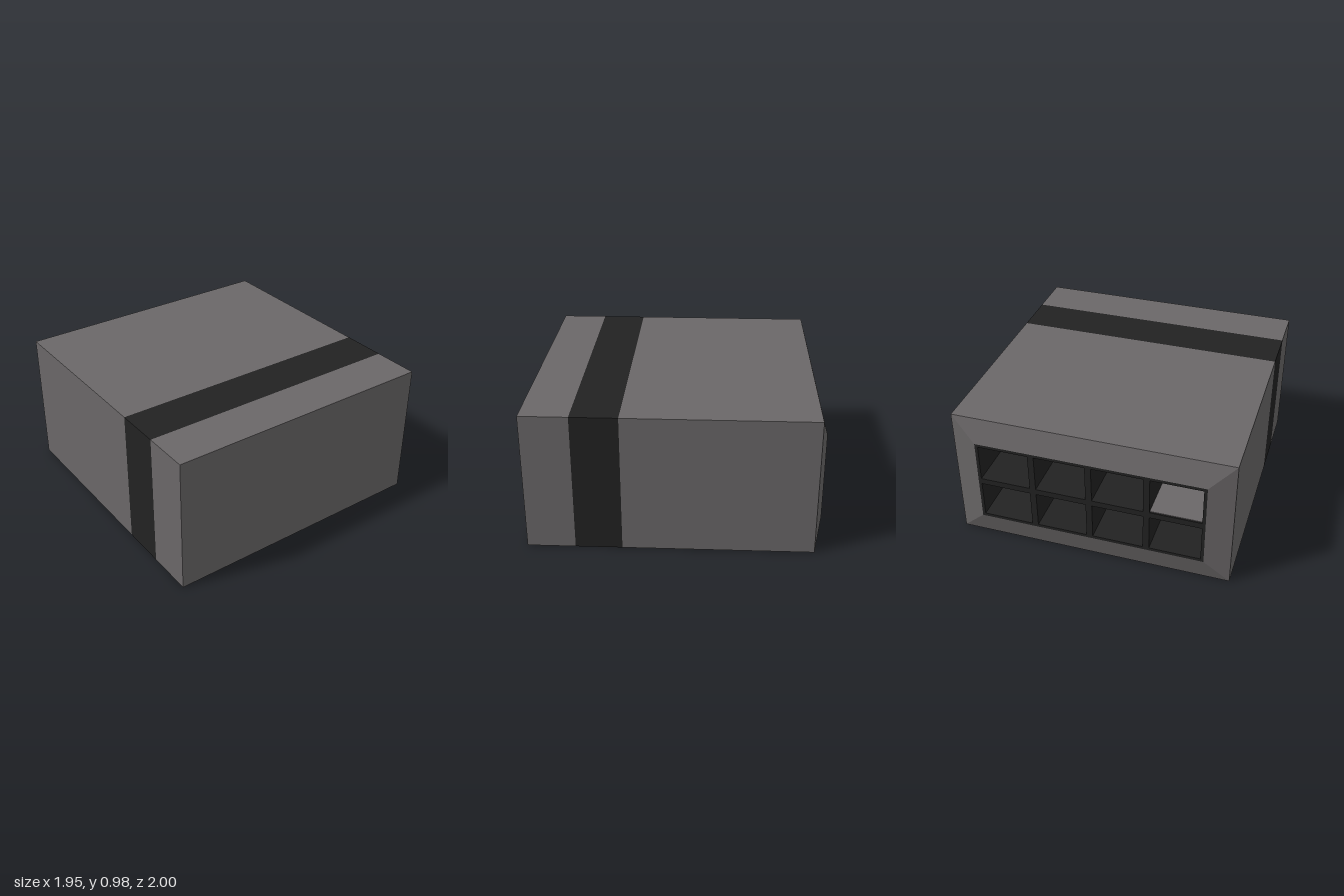
import * as THREE from 'three';

const W = 0.975, H = 0.975;            // half width, full height
const OX = 0.8, OY0 = 0.175, OY1 = 0.8; // opening at the back
const grey = new THREE.MeshStandardMaterial({ color: 0x6a6768 });
const dark = new THREE.MeshStandardMaterial({ color: 0x222222 });

// Anticlockwise rectangle as a list of 2D points
const rect = (x0, x1, y0, y1) => [[x0, y0], [x1, y0], [x1, y1], [x0, y1]].map(([x, y]) => new THREE.Vector2(x, y));

// Rectangle with rectangular holes, extruded from z0 to z1
function pierced(outer, holes, z0, z1) {
  const shape = new THREE.Shape(rect(...outer));
  for (const h of holes) shape.holes.push(new THREE.Path(rect(...h)));
  return new THREE.ExtrudeGeometry(shape, { depth: z1 - z0, bevelEnabled: false }).translate(0, 0, z0);
}

// Box given by its limits
function block(x0, x1, y0, y1, z0, z1) {
  return new THREE.BoxGeometry(x1 - x0, y1 - y0, z1 - z0)
    .translate((x0 + x1) / 2, (y0 + y1) / 2, (z0 + z1) / 2);
}

// Sloping four-sided rim between two rectangles at different z
function slopedRim(outer, zOuter, inner, zInner) {
  const a = rect(...outer), b = rect(...inner), pos = [];
  for (let i = 0; i < 4; i++) {
    const j = (i + 1) % 4;
    const A = [a[i].x, a[i].y, zOuter], B = [a[j].x, a[j].y, zOuter];
    const C = [b[j].x, b[j].y, zInner], D = [b[i].x, b[i].y, zInner];
    pos.push(...A, ...C, ...B, ...A, ...D, ...C);
  }
  const g = new THREE.BufferGeometry();
  g.setAttribute('position', new THREE.Float32BufferAttribute(pos, 3));
  g.computeVertexNormals();
  return g;
}

export function createModel() {
  const group = new THREE.Group();
  const add = (name, geometry, material) => {
    const mesh = new THREE.Mesh(geometry, material);
    mesh.name = name;
    group.add(mesh);
  };
  const outer = [-W, W, 0, H], opening = [-OX, OX, OY0, OY1];

  // Housing in three flush sections
  add('frontSection', block(...outer, 0.67, 1), grey);
  add('darkBand', block(...outer, 0.35, 0.67), dark);
  add('rearSection', pierced(outer, [opening], -0.95, 0.35), grey);

  // Chamfered rim around the rear opening; its corners run to the back
  const rim = grey.clone();
  rim.side = THREE.DoubleSide;
  add('rearRim', slopedRim(outer, -0.95, opening, -1), rim);

  // Two rows of four deep compartments
  const cells = [], pitchX = OX / 2, pitchY = (OY1 - OY0) / 2, wall = 0.022;
  for (let row = 0; row < 2; row++)
    for (let col = 0; col < 4; col++) {
      const x = -OX + col * pitchX, y = OY0 + row * pitchY;
      cells.push([x + wall, x + pitchX - wall, y + wall, y + pitchY - wall]);
    }
  const depthEnd = -0.2;
  add('compartmentGrid', pierced(opening, cells, -1, depthEnd), dark);
  add('compartmentBack', block(...opening, depthEnd, depthEnd + 0.02), dark);

  // Light floor in the upper compartment on the right
  const [x0, x1, y0] = cells[4];
  add('lightCompartmentFloor', block(x0, x1, y0, y0 + 0.004, -0.99, depthEnd), grey);
  return group;
}
